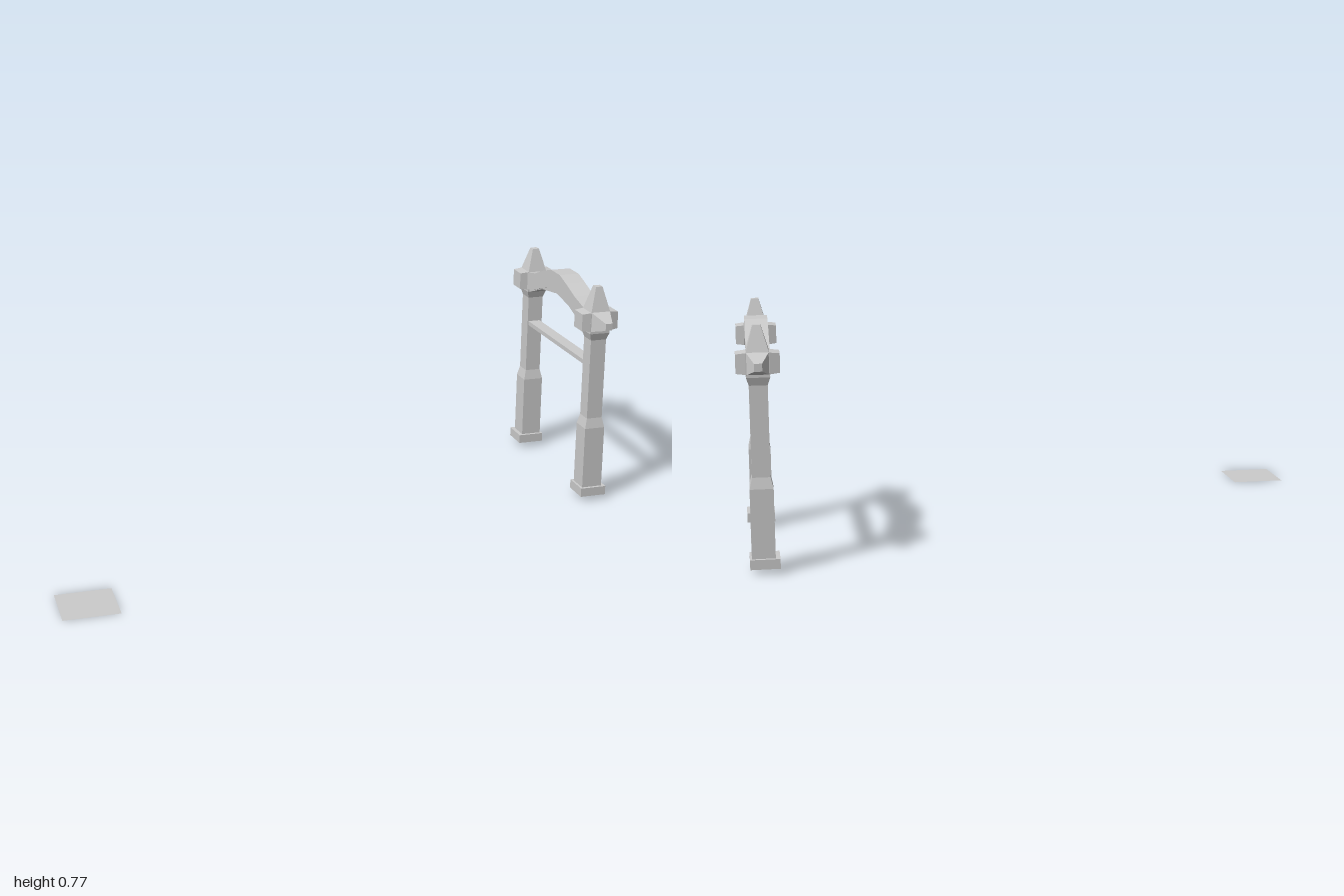
import * as THREE from 'three';

const mat = new THREE.MeshStandardMaterial({ color: 0xcccccc, flatShading: true });
const thinMat = new THREE.MeshStandardMaterial({ color: 0xcccccc, flatShading: true, side: THREE.DoubleSide });

function add(parent, name, geo, material = mat) {
  const mesh = new THREE.Mesh(geo, material);
  mesh.name = name;
  parent.add(mesh);
  return mesh;
}

// Square-section solid along y from [halfWidth, y] pairs, closed at both ends
function squareLoft(sections) {
  const pts = sections.map(([h, y]) => new THREE.Vector2(h * Math.SQRT2, y));
  pts.unshift(new THREE.Vector2(0, pts[0].y));
  pts.push(new THREE.Vector2(0, pts[pts.length - 1].y));
  return new THREE.LatheGeometry(pts, 4, Math.PI / 4);
}

// Solid with a [z, y] outline, extruded across x about the given centre
function crossExtrude(outline, width, x) {
  const shape = new THREE.Shape(outline.map(([z, y]) => new THREE.Vector2(-z, y)));
  return new THREE.ExtrudeGeometry(shape, { depth: width, bevelEnabled: false })
    .translate(0, 0, -width / 2).rotateY(Math.PI / 2).translate(x, 0, 0);
}

function createPost(name, x, z, outward, tipY) {
  const post = new THREE.Group();
  post.name = name;
  post.position.set(x, 0, z);

  // Thick lower shaft, slim upper shaft and flared capital
  add(post, 'shaft', squareLoft([
    [0.036, 0.03], [0.036, 0.267], [0.028, 0.302], [0.028, 0.585], [0.036, 0.61], [0.036, 0.625]]));

  // Head block, pointed finial and side stubs
  add(post, 'headBlock', new THREE.BoxGeometry(0.072, 0.064, 0.072)).position.y = 0.652;
  add(post, 'finial', squareLoft([[0.035, 0.684], [0.012, tipY]]));
  for (const s of [1, -1]) {
    const stub = squareLoft([[0.036, 0.034], [0.032, 0.066]]);
    stub.rotateZ(-s * Math.PI / 2).scale(1, 0.92, 1).translate(0, 0.652, 0);
    add(post, 'sideStub', stub);
  }

  // Long tapered stub pointing away from the arch
  const spike = squareLoft([[0.034, 0.034], [0.012, 0.104]]);
  spike.rotateX(outward * Math.PI / 2).translate(0, 0.652, 0);
  add(post, 'endStub', spike);
  return post;
}

export function createModel() {
  const model = new THREE.Group();
  model.name = 'gateway';
  const x = 0.929;

  const front = createPost('frontPost', 0.926, 0.099, 1, 0.769);
  const back = createPost('backPost', 0.932, -0.464, -1, 0.765);
  model.add(front, back);

  // Back foot is a full block; the front foot is open on its +x side and underneath
  add(back, 'foot', new THREE.BoxGeometry(0.092, 0.031, 0.093)).position.set(-0.004, 0.0335, 0);
  const openFoot = new THREE.BoxGeometry(0.092, 0.031, 0.093);
  const idx = Array.from(openFoot.index.array);
  openFoot.setIndex([...idx.slice(6, 18), ...idx.slice(24)]);
  openFoot.clearGroups();
  add(front, 'foot', openFoot).position.set(0.002, 0.0335, 0);

  // Arched top beam
  const beamTop = [[0.064, 0.686], [-0.012, 0.704], [-0.088, 0.73], [-0.143, 0.747],
    [-0.22, 0.747], [-0.287, 0.727], [-0.36, 0.698], [-0.43, 0.684]];
  const beamBottom = [[-0.43, 0.62], [-0.363, 0.635], [-0.302, 0.657], [-0.226, 0.681],
    [-0.143, 0.684], [-0.079, 0.666], [-0.012, 0.643], [0.064, 0.62]];
  add(model, 'archBeam', crossExtrude([...beamTop, ...beamBottom], 0.072, x));

  // Narrower strip under the arch
  const strip = [[0.064, 0.608], [-0.07, 0.651], [-0.18, 0.669], [-0.311, 0.651], [-0.43, 0.608]];
  const stripTop = strip.map(([z, y]) => [z, y + 0.02]).reverse();
  add(model, 'archStrip', crossExtrude([...strip, ...stripTop], 0.054, x));

  // Slim tie bar between the posts
  add(model, 'tieBar', new THREE.BoxGeometry(0.044, 0.015, 0.515)).position.set(x, 0.4865, -0.182);

  // Separate flat ground tile
  add(model, 'groundTile', new THREE.PlaneGeometry(0.18, 0.185).rotateX(-Math.PI / 2), thinMat)
    .position.set(-0.91, 0, 0.474);

  return model;
}
